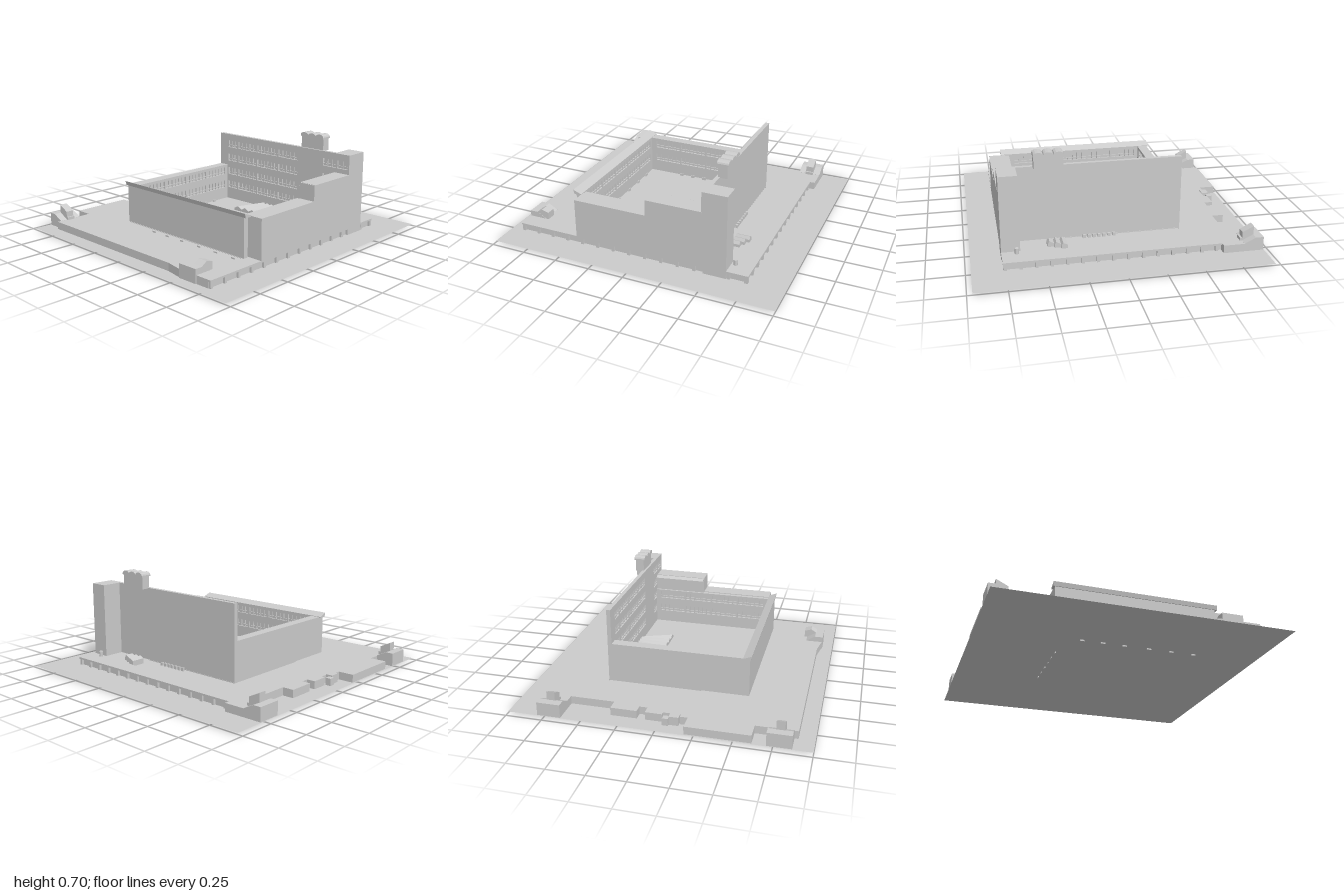
import * as THREE from 'three';

const mat = new THREE.MeshStandardMaterial({ color: 0xcccccc, flatShading: true });
const thin = new THREE.MeshStandardMaterial({ color: 0xcccccc, flatShading: true, side: THREE.DoubleSide });
const toShape = (pts) => new THREE.Shape(pts.map(([a, b]) => new THREE.Vector2(a, b)));
const rect = (a0, a1, b0, b1) => [[a0, b0], [a1, b0], [a1, b1], [a0, b1]];

export function createModel() {
  const model = new THREE.Group();

  function add(name, geometry, parent = model, material = mat) {
    const mesh = new THREE.Mesh(geometry, material);
    mesh.name = name;
    parent.add(mesh);
    return mesh;
  }
  // Box given by its limits on each axis
  function box(name, x0, x1, y0, y1, z0, z1, parent) {
    const g = new THREE.BoxGeometry(x1 - x0, y1 - y0, z1 - z0);
    g.translate((x0 + x1) / 2, (y0 + y1) / 2, (z0 + z1) / 2);
    return add(name, g, parent);
  }
  // Extrude an outline, with optional holes
  function extrude(pts, depth, holes = []) {
    const s = toShape(pts);
    s.holes = holes.map(toShape);
    return new THREE.ExtrudeGeometry(s, { depth, bevelEnabled: false, curveSegments: 8 });
  }
  // Prism with an (x, y) profile running along z
  const prismZ = (name, pts, z0, z1) => add(name, extrude(pts, z1 - z0).translate(0, 0, z0));
  // Prism with a (z, y) profile running along x
  const prismX = (name, pts, x0, x1) =>
    add(name, extrude(pts.map(([z, y]) => [-z, y]), x1 - x0).rotateY(Math.PI / 2).translate(x0, 0, 0));
  // Horizontal slab with an (x, z) plan
  function slab(name, pts, y0, y1, holes = []) {
    const flip = (p) => p.map(([x, z]) => [x, -z]);
    return add(name, extrude(flip(pts), y1 - y0, holes.map(flip)).rotateX(-Math.PI / 2).translate(0, y0, 0));
  }

  // Ground sheet
  const ground = add('ground', new THREE.PlaneGeometry(1.93, 2).rotateX(-Math.PI / 2), model, thin);
  ground.position.y = 0.01;

  // Podium: slab over a body set back on the right and rear
  const outline = [
    [-0.955, -0.795], [-0.685, -0.795], [-0.685, -0.76], [0.765, -0.76], [0.765, 0.92], [0.5, 0.92],
    [0.37, 0.895], [-0.835, 0.895], [-0.835, 0.62], [-0.955, 0.62], [-0.955, 0.19], [-0.845, 0.19],
    [-0.845, 0.14], [-0.82, 0.14], [-0.82, 0.02], [-0.845, 0.02], [-0.845, -0.095], [-0.785, -0.095],
    [-0.785, -0.15], [-0.845, -0.15], [-0.845, -0.33], [-0.765, -0.33], [-0.765, -0.635], [-0.955, -0.635],
  ];
  const trench = rect(-0.665, 0.645, 0.525, 0.63);
  const sunken = [[-0.685, -0.635], [0.33, -0.635], [0.33, -0.47], [-0.475, -0.47], [-0.475, 0.19], [-0.685, 0.19]];
  const inset = outline.map(([x, z]) => [Math.min(x, 0.747), z === -0.76 ? -0.742 : z]);
  slab('podiumBody', inset, 0.01, 0.052, [trench]);
  slab('podiumSlab', outline, 0.052, 0.065, [trench, sunken]);
  for (let i = 0; i <= 14; i++) {
    const z = -0.755 + i * 0.118;
    box('sidePillar', 0.745, 0.763, 0.01, 0.053, z, z + 0.02);
    const x = -0.66 + i * 0.1;
    box('rearPillar', x, x + 0.02, 0.01, 0.053, -0.758, -0.74);
  }
  // Small kiosk at the left edge
  box('edgeKiosk', -0.885, -0.845, 0.01, 0.06, 0.03, 0.07);
  box('edgeKiosk', -0.87, -0.82, 0.01, 0.07, 0.07, 0.135);

  // Corner stair houses with sloping roofs and hoods
  for (const z of [-0.715, 0.79]) {
    prismZ('stairHouse', [[-0.96, 0.01], [-0.96, 0.103], [-0.905, 0.103], [-0.83, 0.066], [-0.83, 0.01]], z - 0.08, z + 0.08);
    prismZ('stairHood', [[-0.907, 0.06], [-0.907, 0.163], [-0.83, 0.125], [-0.83, 0.06]], z - 0.028, z + 0.028);
    box('hoodDoor', -0.83, -0.815, 0.06, 0.085, z - 0.028, z + 0.028);
  }
  prismX('frontStairHouse', [[0.925, 0.01], [0.925, 0.105], [0.865, 0.105], [0.8, 0.066], [0.8, 0.01]], 0.5, 0.645);
  prismX('frontStairHood', [[0.87, 0.06], [0.87, 0.105], [0.83, 0.13], [0.78, 0.115], [0.78, 0.06]], 0.573, 0.643);

  // Facade facing local +z: rows of window openings, back panel and glazing bars
  const rowsY = [0.155, 0.265, 0.375, 0.485];
  function facade(name, u0, u1, top, groups, rows) {
    const g = new THREE.Group();
    g.name = name;
    const holes = [];
    for (const y of rowsY.slice(0, rows)) {
      for (const [a, b] of groups) {
        holes.push(rect(a, b, y, y + 0.055));
        box('transom', a, b, y + 0.014, y + 0.019, 0.003, 0.011, g);
        const n = Math.max(2, Math.round((b - a) / 0.035));
        for (let i = 1; i < n; i++) {
          const u = a + ((b - a) * i) / n;
          box('mullion', u - 0.002, u + 0.002, y, y + 0.055, 0.003, 0.011, g);
        }
      }
    }
    add('wallFace', extrude(rect(u0, u1, 0.06, top), 0.015, holes), g);
    model.add(g);
    return g;
  }
  const bays = (u0, u1, n) => {
    const w = (u1 - u0) / n;
    return Array.from({ length: n }, (_, i) => [u0 + i * w + 0.006, u0 + (i + 1) * w - 0.006]);
  };

  // Tall rear wall
  box('rearWall', -0.475, 0.765, 0.06, 0.59, -0.468, -0.455);
  facade('rearFacade', -0.475, 0.765, 0.59,
    [[-0.39, -0.3], [-0.285, -0.095], [-0.085, 0.115], [0.125, 0.31], [0.54, 0.65], [0.665, 0.75]], 4)
    .position.z = -0.455;

  // Left wing
  box('leftWing', -0.475, -0.42, 0.06, 0.34, -0.455, 0.475);
  const left = facade('leftFacade', -0.475, 0.455, 0.34, bays(-0.44, 0.42, 4), 2);
  left.rotation.y = Math.PI / 2;
  left.position.x = -0.42;

  // Front wing and its tilted coping
  box('frontWing', -0.475, 0.66, 0.06, 0.337, 0.485, 0.52);
  const front = facade('frontFacade', -0.645, 0.475, 0.337, bays(-0.58, 0.38, 5), 2);
  front.rotation.y = Math.PI;
  front.position.z = 0.488;
  prismX('frontCoping', [[0.473, 0.334], [0.473, 0.343], [0.533, 0.366], [0.525, 0.336]], -0.488, 0.678);

  // Right wing stepping up to the rear tower
  box('rightWingLow', 0.645, 0.765, 0.06, 0.34, -0.05, 0.475);
  box('rightWingHigh', 0.645, 0.765, 0.06, 0.45, -0.445, -0.05);
  box('rightWingRoof', 0.642, 0.767, 0.435, 0.452, -0.445, -0.054);
  prismZ('rightEave', [[0.645, 0.425], [0.645, 0.45], [0.612, 0.435], [0.612, 0.425]], -0.44, -0.055);
  box('rightInnerWall', 0.63, 0.646, 0.06, 0.335, -0.445, 0.475);
  box('rightUpperWall', 0.63, 0.646, 0.335, 0.43, -0.445, -0.05);
  const right = facade('rightFacade', -0.44, 0.475, 0.335, bays(-0.41, 0.44, 4), 2);
  right.rotation.y = -Math.PI / 2;
  right.position.x = 0.63;
  box('rearTower', 0.64, 0.765, 0.01, 0.59, -0.612, -0.455);

  // Roof lantern with three vaults
  box('lanternBody', 0.333, 0.527, 0.585, 0.68, -0.518, -0.455);
  for (let i = 0; i < 3; i++) {
    const cx = 0.363 + i * 0.067;
    const vault = [[cx - 0.034, 0.672], [cx + 0.034, 0.672]];
    for (let k = 0; k <= 6; k++) {
      const a = (k / 6) * Math.PI;
      vault.push([cx + Math.cos(a) * 0.034, 0.682 + Math.sin(a) * 0.02]);
    }
    prismZ('lanternVault', vault, -0.526, -0.446);
  }

  // Rear terrace: skylights, bench row and vent
  for (let i = 0; i < 3; i++) {
    const x = 0.33 + i * 0.043;
    prismZ('skylight', [[x, 0.05], [x, 0.09], [x + 0.03, 0.105], [x + 0.043, 0.085], [x + 0.043, 0.05]],
      -0.63 + i * 0.02, -0.53);
  }
  for (let i = 0; i < 7; i++) box('rearBench', -0.02 + i * 0.034, i * 0.034, 0.05, 0.075, -0.482, -0.468);
  add('vent', new THREE.CylinderGeometry(0.014, 0.014, 0.04, 16)).position.set(0.665, 0.083, -0.64);

  // Fan-shaped folded platform in the courtyard
  const pos = [];
  const quad = (a, b, c, d) => pos.push(...a, ...b, ...c, ...a, ...c, ...d);
  const strips = 12;
  const fan = (i, back, low) => {
    const t = i / strips;
    const x = back ? -0.03 + 0.24 * t : -0.12 + 0.435 * t;
    return [x, low ? 0.06 : i % 2 ? 0.1 : 0.08, back ? -0.44 : -0.22];
  };
  for (let i = 0; i < strips; i++) {
    quad(fan(i, 0), fan(i + 1, 0), fan(i + 1, 1), fan(i, 1));
    quad(fan(i, 0, 1), fan(i + 1, 0, 1), fan(i + 1, 0), fan(i, 0));
  }
  for (const i of [0, strips]) quad(fan(i, 1, 1), fan(i, 0, 1), fan(i, 0), fan(i, 1));
  const fanGeo = new THREE.BufferGeometry();
  fanGeo.setAttribute('position', new THREE.Float32BufferAttribute(pos, 3));
  fanGeo.computeVertexNormals();
  add('fanPlatform', fanGeo, model, thin);

  // Low courtyard posts, footed below the ground sheet
  for (const x of [-0.27, -0.13, 0.02, 0.19, 0.35, 0.51]) box('courtPost', x - 0.015, x + 0.015, 0, 0.085, 0.457, 0.463);
  for (let i = 0; i < 6; i++) {
    const z = -0.27 + i * 0.095;
    box('courtPost', -0.388, -0.382, 0, 0.085, z - 0.015, z + 0.015);
  }
  return model;
}
